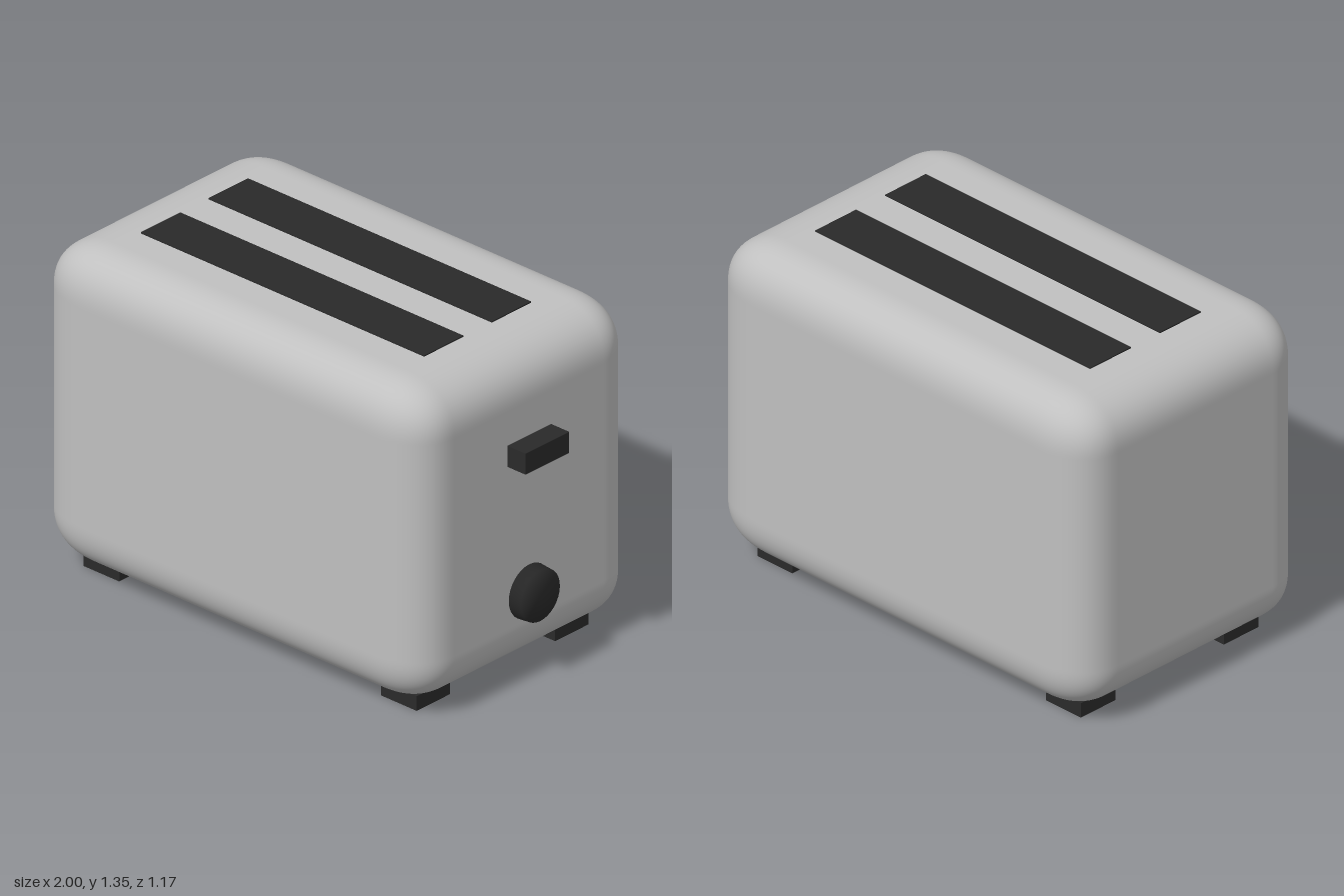
import * as THREE from 'three';
import { mergeVertices } from 'three/addons/utils/BufferGeometryUtils.js';

const shellGrey = new THREE.MeshStandardMaterial({ name: 'shellGrey', color: 0xc0c0c0 });
const darkPlastic = new THREE.MeshStandardMaterial({ name: 'darkPlastic', color: 0x2a2a2a });

// Box with soft superelliptic corners and smooth normals
function softBox(size, radius, power, segments) {
  const geo = new THREE.BoxGeometry(2, 2, 2, segments, segments, segments);
  const pos = geo.attributes.position, nor = geo.attributes.normal;
  const flat = 0.2; // share of each grid spent on the flat middle
  for (let i = 0; i < pos.count; i++) {
    const t = pos.getComponent.bind(pos, i);
    const q = [0, 1, 2].map((a) => Math.max(0, (Math.abs(t(a)) - flat) / (1 - flat)));
    const len = Math.pow(q.reduce((s, v) => s + Math.pow(v, power), 0), 1 / power);
    const p = [], n = new THREE.Vector3();
    for (let a = 0; a < 3; a++) {
      const sign = Math.sign(t(a)), inner = size[a] / 2 - radius[a], d = q[a] / len;
      p.push(sign * (inner * Math.min(1, Math.abs(t(a)) / flat) + radius[a] * d));
      n.setComponent(a, (sign * Math.pow(d, power - 1)) / radius[a]);
    }
    n.normalize();
    pos.setXYZ(i, ...p);
    nor.setXYZ(i, n.x, n.y, n.z);
  }
  return geo;
}

export function createModel() {
  const group = new THREE.Group();
  group.name = 'toaster';
  const add = (name, geo, mat, x, y, z) => {
    const mesh = new THREE.Mesh(geo, mat);
    mesh.name = name;
    mesh.position.set(x, y, z);
    group.add(mesh);
    return mesh;
  };

  // Rounded shell
  add('body', softBox([1.91, 1.29, 1.17], [0.25, 0.2, 0.19], 2.4, 40), shellGrey, -0.045, 0.695, 0);

  // Bread slots and feet, mirrored front to back
  for (const side of [1, -1]) {
    add(side > 0 ? 'frontSlot' : 'backSlot', new THREE.BoxGeometry(1.4, 0.009, 0.21), darkPlastic, -0.045, 1.3405, side * 0.18);
    for (const x of [-0.78, 0.69]) {
      add((side > 0 ? 'front' : 'back') + (x > 0 ? 'Left' : 'Right') + 'Foot',
        new THREE.BoxGeometry(0.177, 0.06, 0.178), darkPlastic, x, 0.03, side * 0.368);
    }
  }

  // Lever on the end
  add('lever', new THREE.BoxGeometry(0.1, 0.086, 0.232), darkPlastic, 0.95, 0.958, 0);

  // Browning knob with softened edge shading
  const knobGeo = new THREE.CylinderGeometry(0.104, 0.11, 0.07, 32);
  knobGeo.deleteAttribute('normal');
  knobGeo.deleteAttribute('uv');
  const smoothKnob = mergeVertices(knobGeo);
  smoothKnob.computeVertexNormals();
  add('knob', smoothKnob, darkPlastic, 0.93, 0.362, 0).rotation.z = -Math.PI / 2;

  return group;
}
